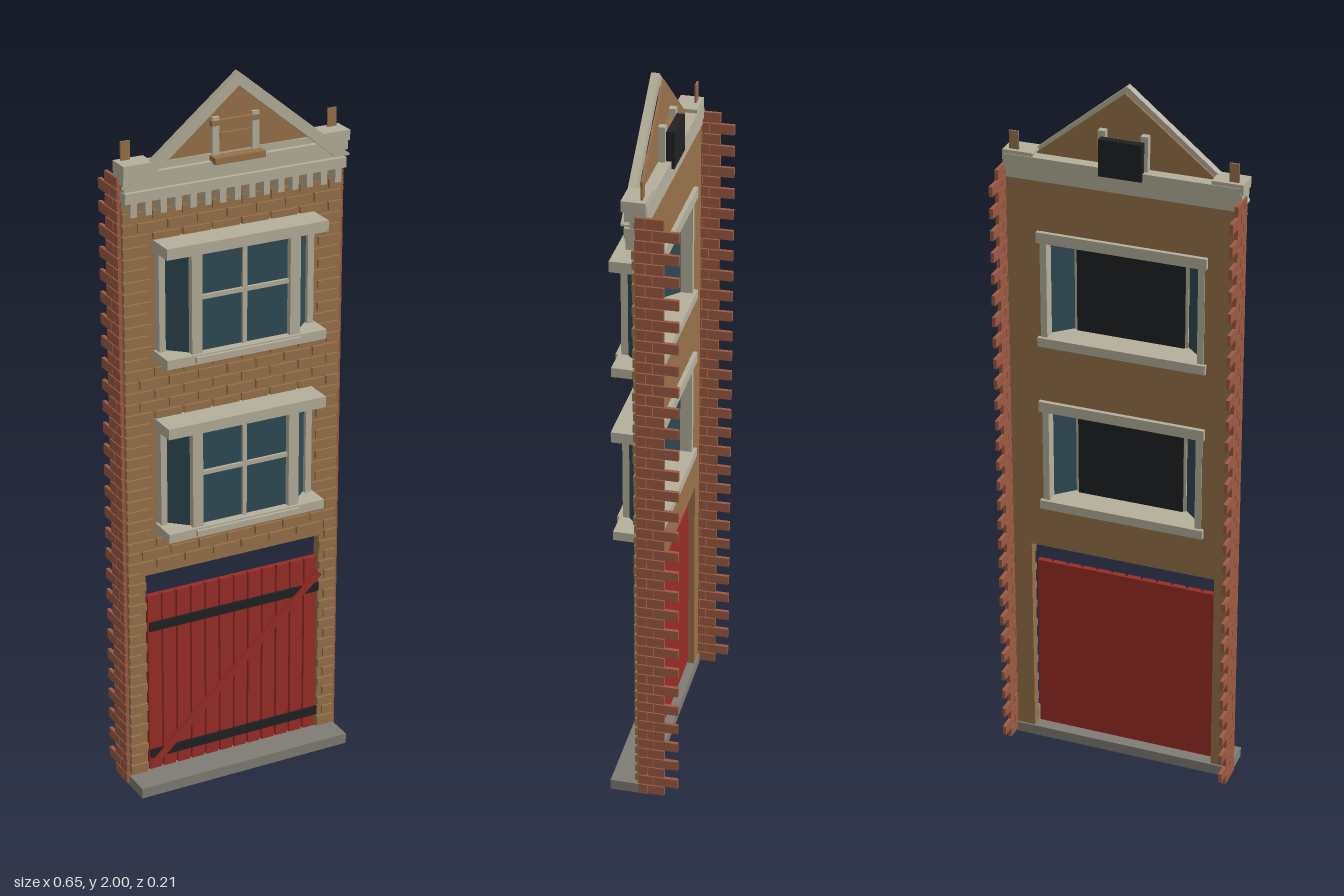
import * as THREE from 'three';
import { mergeGeometries } from 'three/addons/utils/BufferGeometryUtils.js';

const mat = (name, color) => {
  const m = new THREE.MeshStandardMaterial({ color });
  m.name = name;
  return m;
};

export function createModel() {
  const brown = mat('brown brick', 0x98714a);
  const redBrick = mat('red brick', 0x9c5a42);
  const stone = mat('pale stone', 0xb5af9b);
  const grey = mat('grey step', 0x807c75);
  const red = mat('red paint', 0x9a2c26);
  const black = mat('black', 0x202122);
  const glass = mat('glass', 0x2f4a54);

  const root = new THREE.Group();
  root.name = 'narrowFacade';

  const boxGeo = (x0, x1, y0, y1, z0, z1) =>
    new THREE.BoxGeometry(x1 - x0, y1 - y0, z1 - z0)
      .translate((x0 + x1) / 2, (y0 + y1) / 2, (z0 + z1) / 2);
  const add = (name, material, geo, parent = root) => {
    const m = new THREE.Mesh(geo, material);
    m.name = name;
    parent.add(m);
    return m;
  };
  const box = (name, material, b, parent) => add(name, material, boxGeo(...b), parent);
  const extrude = (shape, z0, z1) =>
    new THREE.ExtrudeGeometry(shape, { depth: z1 - z0, bevelEnabled: false }).translate(0, 0, z0);
  const poly = (pts) => new THREE.Shape(pts.map((p) => new THREE.Vector2(...p)));

  // Wall with a door opening and two window holes
  const W = 0.317, doorX = 0.265, doorTop = 0.635, winX = 0.225;
  const windows = [0.76, 1.255], winH = 0.33;
  const wall = poly([[-W, 0.01], [-doorX, 0.01], [-doorX, doorTop], [doorX, doorTop],
    [doorX, 0.01], [W, 0.01], [W, 1.76], [-W, 1.76]]);
  for (const y of windows) {
    wall.holes.push(new THREE.Path([[-winX, y + 0.01], [winX, y + 0.01],
      [winX, y + winH - 0.01], [-winX, y + winH - 0.01]].map((p) => new THREE.Vector2(...p))));
  }
  add('wall', brown, extrude(wall, -0.015, 0.011));

  // Raised face bricks, laid in rows around the openings
  const pitch = 0.0308, joint = 0.008, bricks = [];
  const course = (x0, x1, y, odd) => {
    const len = 0.085;
    let x = x0 - (odd ? len / 2 : 0);
    for (; x < x1 - 0.005; x += len) {
      const a = Math.max(x, x0), b = Math.min(x + len - joint, x1);
      if (b - a > 0.008) bricks.push(boxGeo(a, b, y, y + pitch - joint, 0.009, 0.018));
    }
  };
  for (let row = 0; row < 53; row++) {
    const y = 0.04 + row * pitch, odd = row % 2 === 1, top = y + pitch;
    const atWindow = windows.some((w) => top > w + 0.005 && y < w + winH - 0.005);
    const hole = y < doorTop ? doorX : atWindow ? winX + 0.008 : 0;
    if (hole) {
      const inset = odd ? 0.016 : 0;
      course(-W, -hole - inset, y, false);
      course(hole + inset, W, y, false);
    } else course(-W, W, y, odd);
  }
  add('faceBricks', brown, mergeGeometries(bricks));

  // Toothed brick returns on both sides
  for (const s of [-1, 1]) {
    const teeth = [];
    for (let i = 0; i < 57; i++) {
      const y = 0.008 + i * pitch, back = i % 2 ? -0.104 : -0.066;
      const x0 = s > 0 ? 0.317 : -0.327;
      const split = i % 2 ? -0.036 : -0.018;
      for (const [a, b] of [[back, split - 0.002], [split, 0.006]]) {
        teeth.push(boxGeo(x0, x0 + 0.01, y, y + pitch - 0.003, a, b));
      }
    }
    add(s > 0 ? 'leftBrickReturn' : 'rightBrickReturn', redBrick, mergeGeometries(teeth));
  }

  // Step
  box('step', grey, [-0.32, 0.32, 0, 0.03, -0.02, 0.087]);

  // Plank door with straps and a diagonal brace
  const door = new THREE.Group();
  door.name = 'door';
  root.add(door);
  const planks = [], n = 12, pw = 0.524 / n;
  for (let i = 0; i < n; i++) {
    const x = -0.262 + i * pw;
    planks.push(boxGeo(x, x + pw - 0.007, 0.04, 0.575, 0.004, 0.018));
  }
  add('planks', red, mergeGeometries(planks), door);
  box('doorBacking', red, [-0.262, 0.255, 0.04, 0.575, 0.002, 0.009], door);
  for (const y of [0.09, 0.483]) {
    box('strap', black, [-0.26, 0.26, y - 0.013, y + 0.013, 0.016, 0.024], door);
  }
  const brace = add('brace', red, new THREE.BoxGeometry(Math.hypot(0.52, 0.475), 0.02, 0.012), door);
  brace.position.set(0, 0.292, 0.023);
  brace.rotation.z = Math.atan2(0.475, 0.52);

  // Bay windows
  for (const y of windows) {
    const bay = new THREE.Group();
    bay.name = 'bayWindow';
    bay.position.y = y;
    root.add(bay);
    box('sill', stone, [-0.233, 0.233, 0, 0.026, -0.027, 0.094], bay);
    box('sillNose', stone, [-0.153, 0.153, 0.006, 0.022, 0.09, 0.103], bay);
    box('head', stone, [-0.233, 0.233, 0.3, 0.33, -0.027, 0.097], bay);
    box('frontGlass', glass, [-0.13, 0.13, 0.026, 0.3, 0.064, 0.069], bay);
    box('blind', black, [-0.15, 0.15, 0.026, 0.3, 0.05, 0.056], bay);
    box('mullion', stone, [-0.006, 0.006, 0.026, 0.3, 0.066, 0.077], bay);
    box('transom', stone, [-0.128, 0.128, 0.169, 0.181, 0.066, 0.077], bay);
    for (const s of [-1, 1]) {
      const post = box('frontPost', stone, [-0.015, 0.015, 0.026, 0.3, 0.055, 0.086], bay);
      post.position.x = s * 0.143;
      const jamb = box('wallPost', stone, [-0.009, 0.009, 0.026, 0.3, -0.018, 0.034], bay);
      jamb.position.x = s * 0.217;
      const pane = add('sideGlass', glass, new THREE.BoxGeometry(0.085, 0.274, 0.005), bay);
      pane.position.set(s * 0.183, 0.163, 0.041);
      pane.rotation.y = s * Math.atan2(0.055, 0.06);
    }
  }

  // Cornice with dentils
  const dentils = [];
  for (let i = 0; i < 15; i++) {
    const x = -0.294 + i * 0.042;
    dentils.push(boxGeo(x - 0.009, x + 0.009, 1.66, 1.7, 0.01, 0.036));
  }
  add('dentils', stone, mergeGeometries(dentils));
  box('lowerCornice', stone, [-0.318, 0.318, 1.697, 1.725, -0.01, 0.036]);
  box('corniceBand', stone, [-0.316, 0.316, 1.725, 1.745, -0.018, 0.024]);
  box('upperCornice', stone, [-0.322, 0.322, 1.745, 1.772, -0.022, 0.034]);
  box('parapet', stone, [-0.318, 0.318, 1.772, 1.79, -0.022, 0.02]);
  for (const s of [-1, 1]) {
    const end = box('corniceEnd', stone, [-0.042, 0.042, 1.772, 1.8, -0.02, 0.042]);
    end.position.x = s * 0.282;
    const stub = box('cornerStub', brown, [-0.013, 0.013, 1.79, 1.85, -0.009, -0.004]);
    stub.position.x = s * 0.296;
  }

  // Gable
  add('gableWall', brown, extrude(poly([[-0.25, 1.785], [0.25, 1.785], [0, 1.985]]), 0.01, 0.016));
  add('gableRakes', stone, extrude(poly([[-0.322, 1.732], [-0.282, 1.732], [0, 1.964],
    [0.282, 1.732], [0.322, 1.732], [0.322, 1.737], [0, 2], [-0.322, 1.737]]), 0.022, 0.043));

  // Hatch in the gable
  const hatch = new THREE.Group();
  hatch.name = 'gableHatch';
  root.add(hatch);
  box('hatchBack', black, [-0.058, 0.058, 1.77, 1.87, -0.03, -0.009], hatch);
  box('hatchPanel', brown, [-0.045, 0.045, 1.79, 1.862, -0.005, 0.02], hatch);
  box('hatchSill', brown, [-0.072, 0.072, 1.768, 1.785, 0.016, 0.052], hatch);
  box('hatchHead', brown, [-0.07, 0.07, 1.862, 1.876, 0.014, 0.028], hatch);
  box('hatchRail', brown, [-0.045, 0.045, 1.83, 1.842, 0.018, 0.028], hatch);
  for (const s of [-1, 1]) {
    const post = box('hatchPost', stone, [-0.01, 0.01, 1.785, 1.885, -0.008, 0.026], hatch);
    post.position.x = s * 0.057;
  }
  return root;
}
